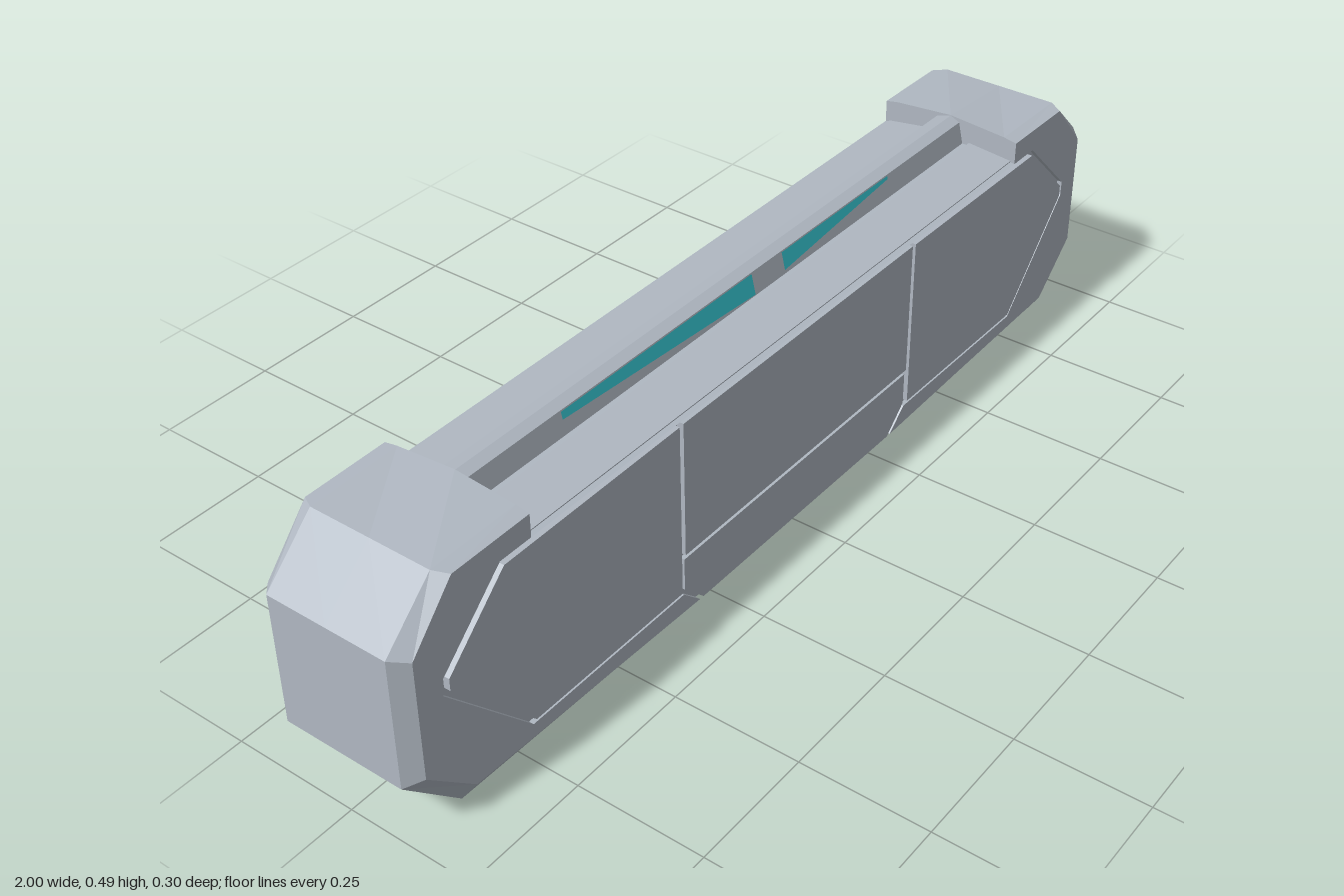
import * as THREE from 'three';

const grey = new THREE.MeshStandardMaterial({ color: 0xb0b8c2 });
grey.name = 'greyArmour';
const cyan = new THREE.MeshStandardMaterial({ color: 0x36c5d0 });
cyan.name = 'cyanLight';

// Right half outlines, from bottom centre round to the top notch
const OUTER = [[0.3, 0.02], [0.54, 0.0], [0.88, 0], [1, 0.12], [1, 0.378], [0.895, 0.478], [0.71, 0.48], [0.71, 0.435]];
const INNER = [[0.3, 0.022], [0.54, 0.03], [0.87, 0.04], [0.973, 0.135], [0.973, 0.37], [0.88, 0.474], [0.71, 0.475], [0.71, 0.43]];
const RIDGED = OUTER.map(([x, y]) => [x, y === 0.48 ? 0.49 : y]);

const flipX = (pts) => pts.map(([x, y]) => [-x, y]).reverse();
const full = (half) => [...half, ...flipX(half)];
const toShape = (pts) => new THREE.Shape(pts.map(([x, y]) => new THREE.Vector2(x, y)));

function add(group, name, geometry, material = grey) {
  const mesh = new THREE.Mesh(geometry, material);
  mesh.name = name;
  group.add(mesh);
  return mesh;
}

// Flat-faced skin through closed outlines placed along z
function loft(rings) {
  const pos = [];
  for (let r = 0; r < rings.length - 1; r++) {
    const [p, q] = [rings[r], rings[r + 1]];
    const n = p.pts.length;
    for (let i = 0; i < n; i++) {
      const j = (i + 1) % n;
      const a = [...p.pts[i], p.z], b = [...p.pts[j], p.z];
      const c = [...q.pts[j], q.z], d = [...q.pts[i], q.z];
      pos.push(...a, ...b, ...c, ...a, ...c, ...d);
    }
  }
  const geometry = new THREE.BufferGeometry();
  geometry.setAttribute('position', new THREE.Float32BufferAttribute(pos, 3));
  geometry.computeVertexNormals();
  return geometry;
}

function slab(pts, z0, z1) {
  return new THREE.ExtrudeGeometry(toShape(pts), { depth: z1 - z0, bevelEnabled: false }).translate(0, 0, z0);
}

// One broad face: groove floor, end frames and separate panels
function createFace(isFront) {
  const face = new THREE.Group();
  face.name = isFront ? 'frontFace' : 'backFace';
  add(face, 'grooveFloor', new THREE.ShapeGeometry(toShape(full(INNER))).translate(0, 0, 0.139));

  const frame = [...INNER, [0.78, 0.43], [0.92, 0.295], [0.92, 0.265], [0.735, 0.063], [0.345, 0.063]];
  const panel = [[0.352, 0.072], [0.73, 0.072], [0.908, 0.268], [0.908, 0.292], [0.775, 0.421], [0.352, 0.424]];
  for (const [side, map] of [['left', (p) => p], ['right', flipX]]) {
    add(face, side + 'EndFrame', slab(map(frame), 0.136, 0.149));
    add(face, side + 'Panel', slab(map(panel), 0.136, 0.152));
  }

  if (isFront) {
    add(face, 'centrePanel', slab(full([[0.342, 0.15], [0.342, 0.425]]), 0.136, 0.152));
    add(face, 'lowerPanel', slab(full([[0.29, 0.022], [0.342, 0.072], [0.342, 0.139]]), 0.136, 0.149));
  } else {
    add(face, 'centrePanel', slab(full([[0.29, 0.022], [0.342, 0.072], [0.342, 0.425]]), 0.136, 0.151));
    face.rotation.y = Math.PI;
  }
  return face;
}

export function createModel() {
  const model = new THREE.Group();
  model.name = 'barrier';

  // Chamfered shell with peaked end caps
  add(model, 'shell', loft([
    { pts: full(INNER), z: -0.149 },
    { pts: full(OUTER), z: -0.122 },
    { pts: full(RIDGED), z: 0 },
    { pts: full(OUTER), z: 0.122 },
    { pts: full(INNER), z: 0.149 },
  ]));
  model.add(createFace(true), createFace(false));

  // Top shelves and central ridge, as a (z, y) section run along x
  const section = [[0.14, 0.432], [0.14, 0.434], [0.045, 0.443], [0.042, 0.437], [0.03, 0.437], [0.02, 0.48], [0, 0.489],
    [-0.03, 0.48], [-0.038, 0.437], [-0.048, 0.437], [-0.052, 0.447], [-0.14, 0.434], [-0.14, 0.432]];
  const ridge = slab(section.map(([z, y]) => [-z, y]), -0.71, 0.71).rotateY(Math.PI / 2);
  add(model, 'topRidge', ridge);

  // Tapered light strips lying on the sloping front of the ridge
  const strips = {
    rightLight: [[-0.49, 0.465], [0.02, 0.44], [0.02, 0.479], [-0.49, 0.479]],
    leftLight: [[0.11, 0.445], [0.45, 0.473], [0.45, 0.479], [0.11, 0.479]],
  };
  for (const [name, pts] of Object.entries(strips)) {
    const geometry = new THREE.ShapeGeometry(toShape(pts));
    const p = geometry.attributes.position;
    for (let i = 0; i < p.count; i++) p.setZ(i, 0.032 - (p.getY(i) - 0.437) * (0.01 / 0.043));
    geometry.computeVertexNormals();
    add(model, name, geometry, cyan);
  }
  return model;
}
